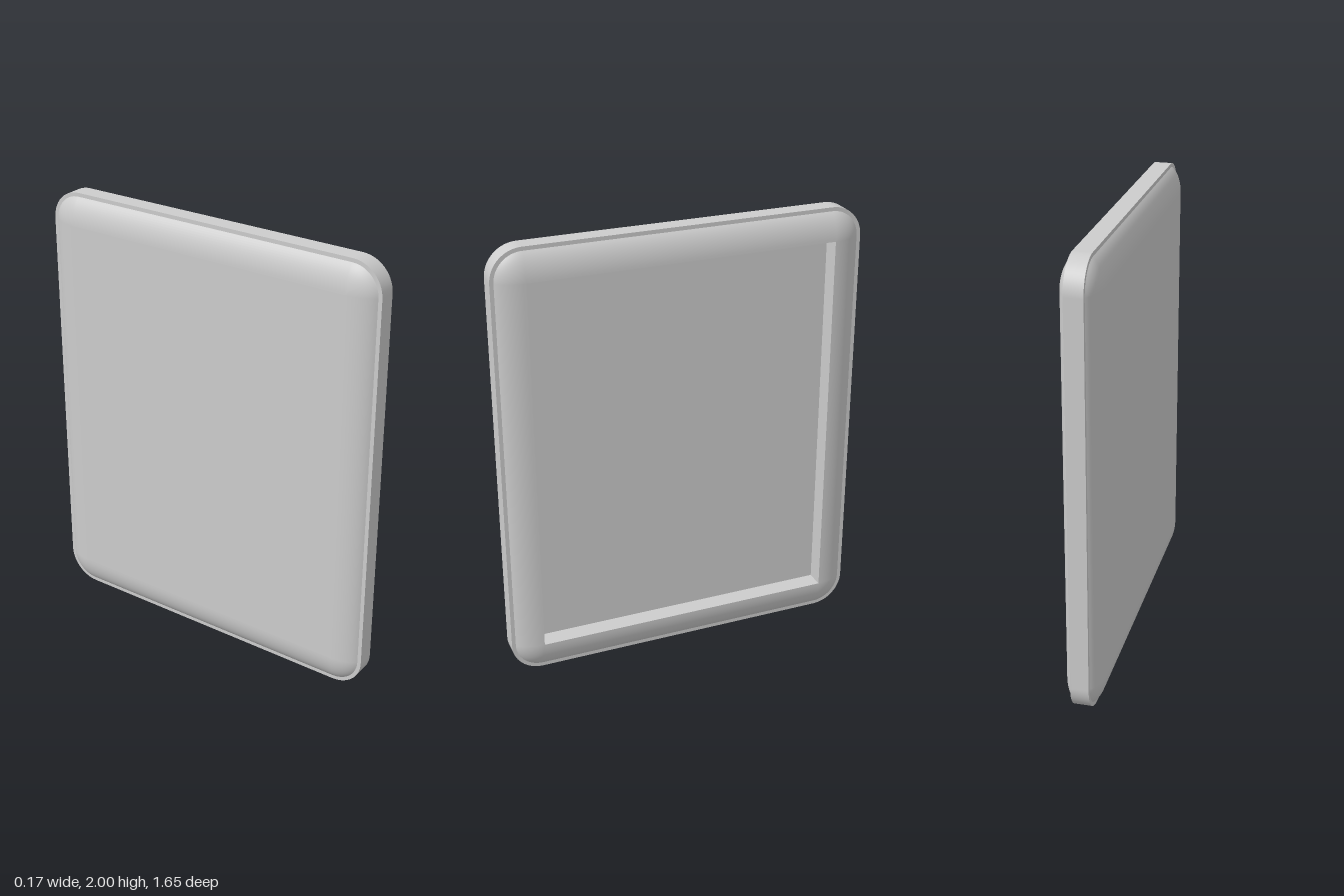
import * as THREE from 'three';

const HALF_Z = 0.687, HALF_Y = 0.86; // recess half sizes
const RIM = 0.14;                    // rim width and corner radius
const DEPTH = 0.083, BAND = 0.04;    // half thickness of body and of edge band
const STEPS = 14;

// Rounded-rectangle loop grown by an offset from the recess outline
function loopPoints(offset, x) {
  const points = [];
  const corners = [[1, 1], [-1, 1], [-1, -1], [1, -1]];
  corners.forEach(([h, v], c) => {
    for (let i = 0; i <= STEPS; i++) {
      const a = (c + i / STEPS) * Math.PI / 2;
      points.push(x, v * HALF_Y + offset * Math.sin(a), -(h * HALF_Z + offset * Math.cos(a)));
    }
  });
  return points;
}

// Sweep a profile of [offset, x] points round the loop
function sweep(profile) {
  const n = 4 * (STEPS + 1), index = [];
  const positions = profile.flatMap(([o, x]) => loopPoints(o, x));
  for (let r = 0; r < profile.length - 1; r++) {
    for (let i = 0; i < n; i++) {
      const j = (i + 1) % n, a = r * n, b = a + n;
      index.push(a + i, a + j, b + j, a + i, b + j, b + i);
    }
  }
  const geometry = new THREE.BufferGeometry();
  geometry.setAttribute('position', new THREE.Float32BufferAttribute(positions, 3));
  geometry.setIndex(index);
  geometry.computeVertexNormals();
  return geometry;
}

export function createModel() {
  const grey = new THREE.MeshStandardMaterial({ color: 0xcccccc });
  grey.name = 'light grey';
  const model = new THREE.Group();
  model.name = 'framedPanel';
  const add = (name, geometry) => {
    const mesh = new THREE.Mesh(geometry, grey);
    mesh.name = name;
    mesh.position.y = 1;
    model.add(mesh);
  };

  // Elliptical rim profile from the edge band up to the flat face
  const start = Math.asin(BAND / DEPTH);
  const dome = [];
  for (let i = 0; i <= 12; i++) {
    const t = start + (Math.PI / 2 - start) * i / 12;
    dome.push([RIM * Math.cos(t), DEPTH * Math.sin(t)]);
  }
  const inset = dome[0][0];

  // Rounded rims on both faces
  add('recessSideRim', sweep(dome));
  add('backSideRim', sweep(dome.map(([o, x]) => [o, -x]).reverse()));

  // Raised band round the edge
  add('edgeBand', sweep([[RIM, -BAND], [RIM, BAND]]));
  add('bandLedgeRecessSide', sweep([[RIM, BAND], [inset, BAND]]));
  add('bandLedgeBackSide', sweep([[inset, -BAND], [RIM, -BAND]]));

  // Recess walls, and a panel forming both the recess floor and the flat back
  add('recessWalls', sweep([[0, DEPTH], [0, 0]]));
  const panel = new THREE.BoxGeometry(DEPTH, HALF_Y * 2, HALF_Z * 2);
  panel.translate(-DEPTH / 2, 0, 0);
  add('panel', panel);

  return model;
}
